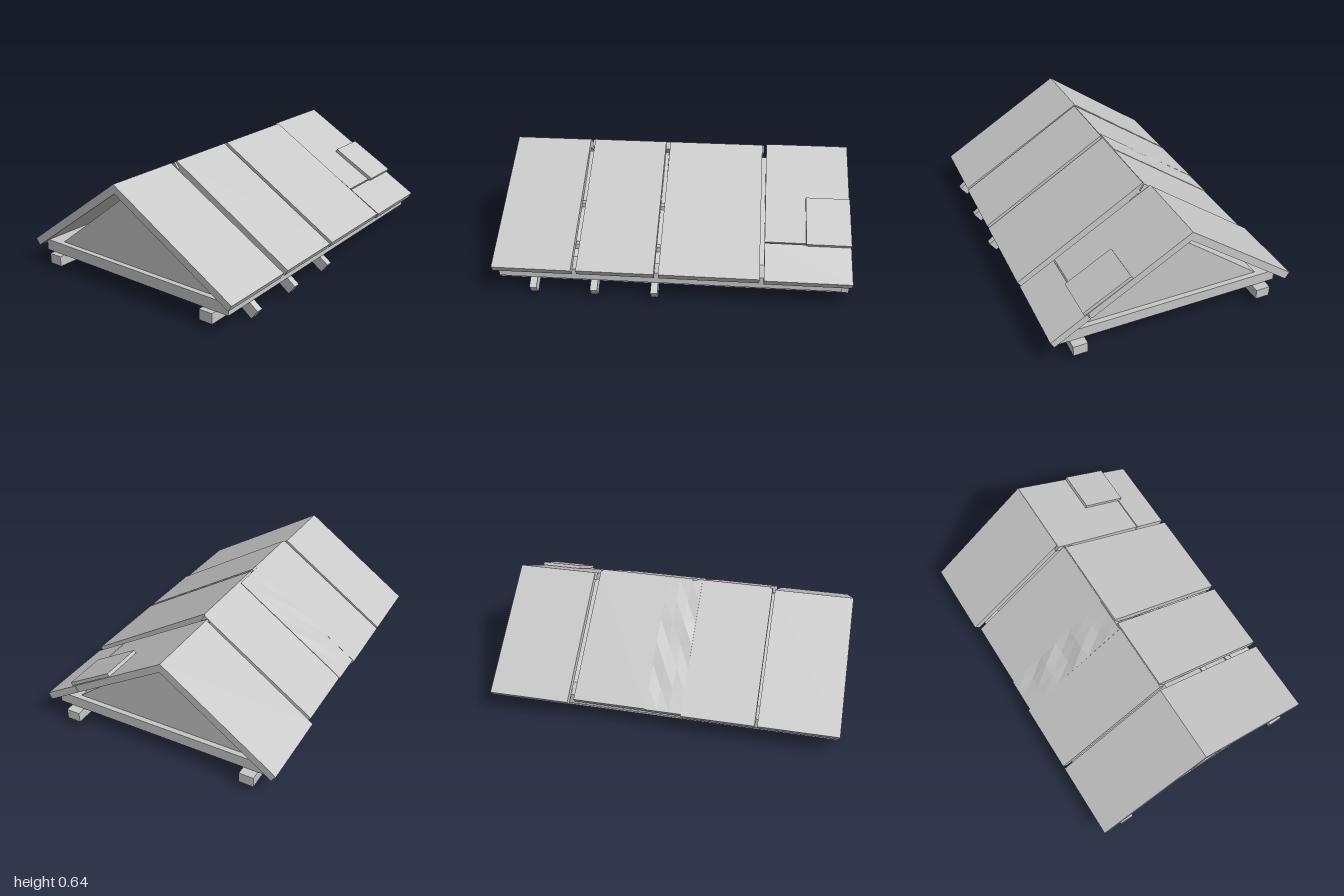
import * as THREE from 'three';

export function createModel() {
  const model = new THREE.Group();
  model.name = 'brokenRoof';
  const grey = new THREE.MeshStandardMaterial({ color: 0xc8c8c8 });
  grey.name = 'grey';

  function add(name, geometry) {
    const mesh = new THREE.Mesh(geometry, grey);
    mesh.name = name;
    model.add(mesh);
    return mesh;
  }

  function box(name, x0, x1, y0, y1, z0, z1) {
    add(name, new THREE.BoxGeometry(x1 - x0, y1 - y0, z1 - z0))
      .position.set((x0 + x1) / 2, (y0 + y1) / 2, (z0 + z1) / 2);
  }

  // Sloping slab whose outer face runs from a to b (x, y) between z0 and z1;
  // lift(u, w) raises it off the slope, u along the slope, w from z0 to z1
  function slab(name, a, b, z0, z1, thick, lift = () => 0, segU = 1, segW = 1) {
    let geo = new THREE.BoxGeometry(1, 1, 1, segU, 1, segW);
    const p = geo.attributes.position;
    const dx = b[0] - a[0], dy = b[1] - a[1], len = Math.hypot(dx, dy);
    for (let i = 0; i < p.count; i++) {
      const u = p.getX(i) + 0.5, w = p.getZ(i) + 0.5;
      const n = (p.getY(i) - 0.5) * thick + lift(u, w);
      p.setXYZ(i, a[0] + dx * u - dy / len * n, a[1] + dy * u + dx / len * n, z0 + (z1 - z0) * w);
    }
    geo = geo.toNonIndexed();
    geo.computeVertexNormals();
    add(name, geo);
  }

  // Long rails and ceiling base
  box('rightRail', -0.6, -0.515, 0.04, 0.1, -1, 1);
  box('leftRail', 0.51, 0.593, 0.04, 0.1, -1, 1);
  box('base', -0.655, 0.672, 0.1, 0.165, -0.95, 0.97);

  // Triangular attic core
  const triangle = new THREE.Shape([[-0.55, 0.16], [0.55, 0.16], [0, 0.58]].map(([x, y]) => new THREE.Vector2(x, y)));
  const core = new THREE.ExtrudeGeometry(triangle, { depth: 1.86, bevelEnabled: false });
  add('gableCore', core.translate(0, 0, -0.92));

  // Exposed rafters with the purlins lying on them
  for (const z of [0.77, 0.425, 0.085]) {
    slab('rafter', [0, 0.59], [0.72, 0.06], z - 0.02, z + 0.02, 0.066);
  }
  box('upperPurlin', 0.278, 0.31, 0.36, 0.388, 0.06, 0.8);
  box('lowerPurlin', 0.488, 0.52, 0.205, 0.235, 0.06, 0.8);

  // Panels on the +x slope
  const ridge = [-0.035, 0.645], eave = [0.72, 0.185];
  slab('leftPanel', [-0.05, 0.637], [0.715, 0.18], 0.55, 1, 0.042);
  slab('leftPanel', ridge, eave, 0.085, 0.52, 0.042);
  slab('leftPanel', ridge, eave, -0.495, 0.06, 0.045);
  slab('leftBackPanel', [-0.068, 0.636], [0.508, 0.298], -1, -0.52, 0.042);
  slab('leftBackLowerPanel', [0.514, 0.294], [0.715, 0.175], -1, -0.52, 0.042);
  slab('patch', [0.265, 0.452], [0.53, 0.3], -1, -0.75, 0.02, () => 0.012);

  // Panels on the -x slope, the middle two overlapping and buckled
  const low = [-0.715, 0.165], high = [-0.04, 0.64];
  slab('rightPanel', low, [-0.05, 0.637], 0.55, 1, 0.045);
  slab('rightPanel', low, high, 0.12, 0.535, 0.045);
  slab('rightPanel', [-0.7, 0.17], high, -0.505, -0.085, 0.045);
  slab('buckledPanel', [-0.705, 0.17], [-0.045, 0.64], -0.085, 0.12, 0.045,
    (u, w) => 0.012 * Math.sin(u * 17 + w * 5) * Math.sin(Math.PI * w) * Math.sin(Math.PI * u), 6, 3);
  slab('rightPanel', [-0.725, 0.163], [-0.07, 0.636], -1, -0.535, 0.045);

  return model;
}
